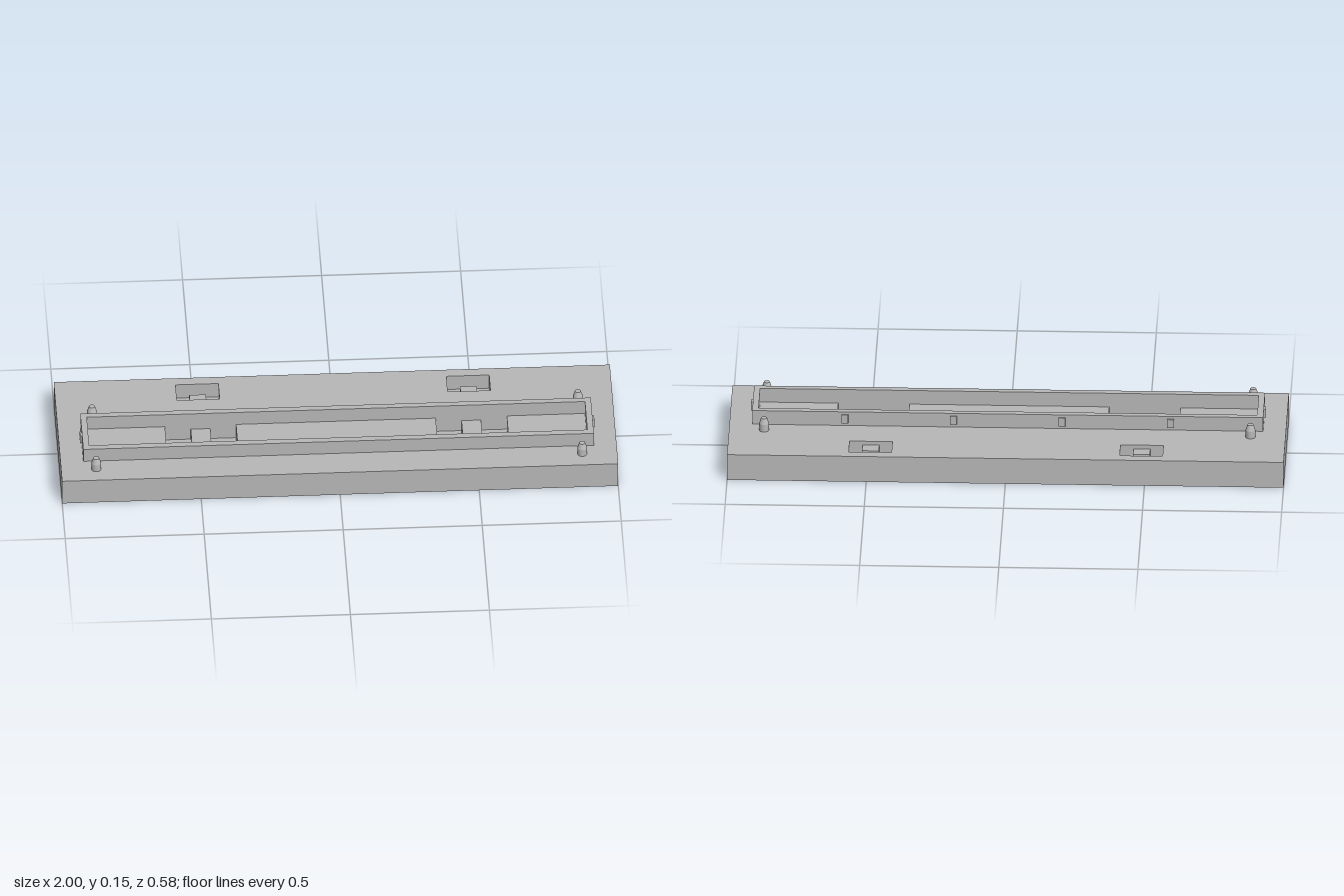
import * as THREE from 'three';

const TOP = 0.1;          // upper surface of the base
const FLOOR = 0.04;       // floor of the recesses
const W = 2, D = 0.585;   // base footprint

const gray = new THREE.MeshStandardMaterial({ color: 0xb8b8b8 });
gray.name = 'plainGray';

// Rectangle given in x and z, drawn so that it lies flat after rotateX(-90 degrees)
function rect(Type, x0, x1, z0, z1) {
  const p = new Type();
  p.moveTo(x0, -z1);
  p.lineTo(x1, -z1);
  p.lineTo(x1, -z0);
  p.lineTo(x0, -z0);
  p.closePath();
  return p;
}

// Box from its limits
function boxGeo(x0, x1, y0, y1, z0, z1) {
  return new THREE.BoxGeometry(x1 - x0, y1 - y0, z1 - z0)
    .translate((x0 + x1) / 2, (y0 + y1) / 2, (z0 + z1) / 2);
}

// Remove the upper face of a box; optionally turn it inside out
function openTop(geo, inward) {
  let index = Array.from(geo.index.array);
  index.splice(12, 6);
  if (inward) {
    index.reverse();
    const n = geo.attributes.normal;
    for (let i = 0; i < n.count; i++) n.setXYZ(i, -n.getX(i), -n.getY(i), -n.getZ(i));
  }
  geo.setIndex(index);
  geo.clearGroups();
  return geo;
}

export function createModel() {
  const model = new THREE.Group();
  model.name = 'alignmentFixture';
  const add = (name, geo, parent = model) => {
    const mesh = new THREE.Mesh(geo, gray);
    mesh.name = name;
    parent.add(mesh);
    return mesh;
  };

  // Base: open box, and a top face pierced by the recesses
  add('baseSides', openTop(boxGeo(-W / 2, W / 2, 0, TOP, -D / 2, D / 2), false));
  const topShape = rect(THREE.Shape, -W / 2, W / 2, -D / 2, D / 2);

  // Recesses with a raised block: half widths, z limits, block limits
  const recesses = [
    { name: 'front', hw: 0.128, z0: -0.01, z1: 0.156, bw: 0.035, b0: -0.01, b1: 0.07 },
    { name: 'back', hw: 0.077, z0: -0.254, z1: -0.163, bw: 0.03, b0: -0.211, b1: -0.163 },
  ];
  for (const r of recesses) {
    for (const x of [-0.487, 0.487]) {
      topShape.holes.push(rect(THREE.Path, x - r.hw, x + r.hw, r.z0, r.z1));
      add(r.name + 'Recess', openTop(boxGeo(x - r.hw, x + r.hw, FLOOR, TOP, r.z0, r.z1), true));
      add(r.name + 'RecessBlock', boxGeo(x - r.bw, x + r.bw, FLOOR, TOP - 0.015, r.b0, r.b1));
    }
  }
  add('baseTop', new THREE.ShapeGeometry(topShape).rotateX(-Math.PI / 2).translate(0, TOP, 0));

  // Raised rectangular rim
  const rim = rect(THREE.Shape, -0.918, 0.918, -0.032, 0.179);
  rim.holes.push(rect(THREE.Path, -0.896, 0.896, -0.01, 0.156));
  add('rim', new THREE.ExtrudeGeometry(rim, { depth: 0.054, bevelEnabled: false })
    .rotateX(-Math.PI / 2).translate(0, TOP, 0));

  // Small catches on the back and the ends of the rim
  for (const x of [-0.585, -0.195, 0.195, 0.585]) {
    add('backCatch', boxGeo(x - 0.012, x + 0.012, 0.111, 0.144, -0.039, -0.031));
  }
  for (const s of [-1, 1]) {
    add('endCatch', boxGeo(s * 0.921 - 0.004, s * 0.921 + 0.004, 0.111, 0.144, 0.061, 0.086));
  }

  // Locating pins with tapered tips
  for (const x of [-0.874, 0.874]) {
    for (const z of [-0.08, 0.225]) {
      const pin = new THREE.Group();
      pin.name = 'locatingPin';
      pin.position.set(x, TOP, z);
      add('pinShaft', new THREE.CylinderGeometry(0.0175, 0.0175, 0.028, 32, 1, true)
        .translate(0, 0.014, 0), pin);
      add('pinTip', new THREE.CylinderGeometry(0.0105, 0.0175, 0.021, 32)
        .translate(0, 0.0385, 0), pin);
      model.add(pin);
    }
  }
  return model;
}
